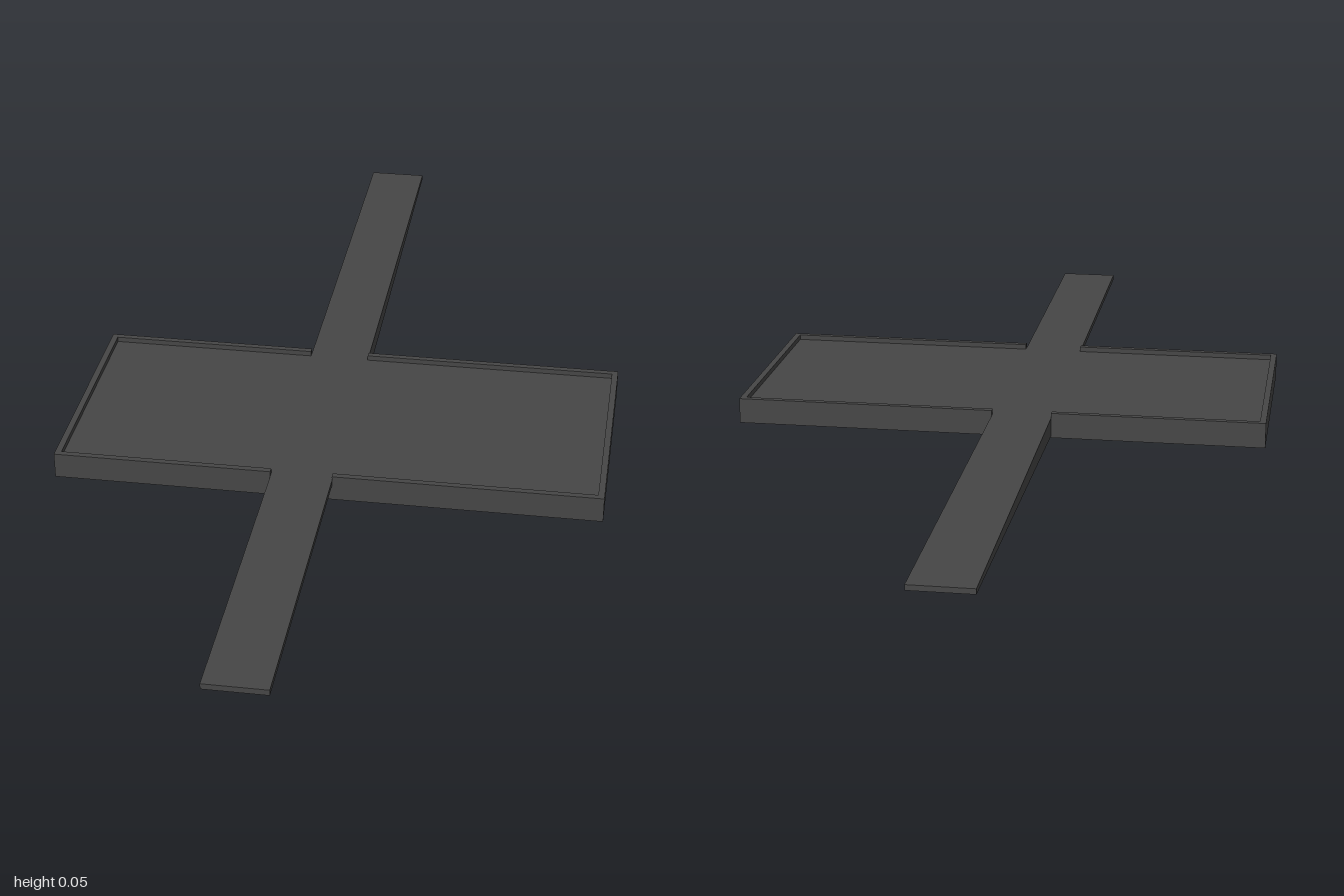
import * as THREE from 'three';

export function createModel() {
  const model = new THREE.Group();
  const asphalt = new THREE.MeshStandardMaterial({ color: 0x464646 });
  asphalt.name = 'darkGrey';

  const X0 = -0.522, X1 = 0.52, Z0 = -0.117, Z1 = 0.359; // platform outline
  const R0 = -0.105, R1 = 0.012;                         // road edges
  const DECK = 0.04, TOP = 0.05, RIM = 0.012;

  function box(name, x0, x1, y0, y1, z0, z1) {
    const mesh = new THREE.Mesh(new THREE.BoxGeometry(x1 - x0, y1 - y0, z1 - z0), asphalt);
    mesh.position.set((x0 + x1) / 2, (y0 + y1) / 2, (z0 + z1) / 2);
    mesh.name = name;
    model.add(mesh);
    return mesh;
  }

  // Deck slab
  box('platform', X0, X1, 0, DECK, Z0, Z1);

  // Raised rim, open where the road crosses
  box('rimRight', X0, X0 + RIM, DECK, TOP, Z0, Z1);
  box('rimLeft', X1 - RIM, X1, DECK, TOP, Z0, Z1);
  for (const [side, z] of [['Back', Z0], ['Front', Z1 - RIM]]) {
    box('rim' + side + 'Right', X0 + RIM, R0, DECK, TOP, z, z + RIM);
    box('rim' + side + 'Left', R1, X1 - RIM, DECK, TOP, z, z + RIM);
  }

  // Thin front road
  box('frontRoad', R0, R1, 0.029, DECK, Z1, 1);

  // Back road, its underside rising towards the end
  const side = new THREE.Shape([
    new THREE.Vector2(-Z0, 0.003),
    new THREE.Vector2(1, 0.03),
    new THREE.Vector2(1, DECK),
    new THREE.Vector2(-Z0, DECK),
  ]);
  const ramp = new THREE.ExtrudeGeometry(side, { depth: R1 - R0, bevelEnabled: false });
  ramp.rotateY(Math.PI / 2);
  const backRoad = new THREE.Mesh(ramp, asphalt);
  backRoad.position.x = R0;
  backRoad.name = 'backRoad';
  model.add(backRoad);

  return model;
}
